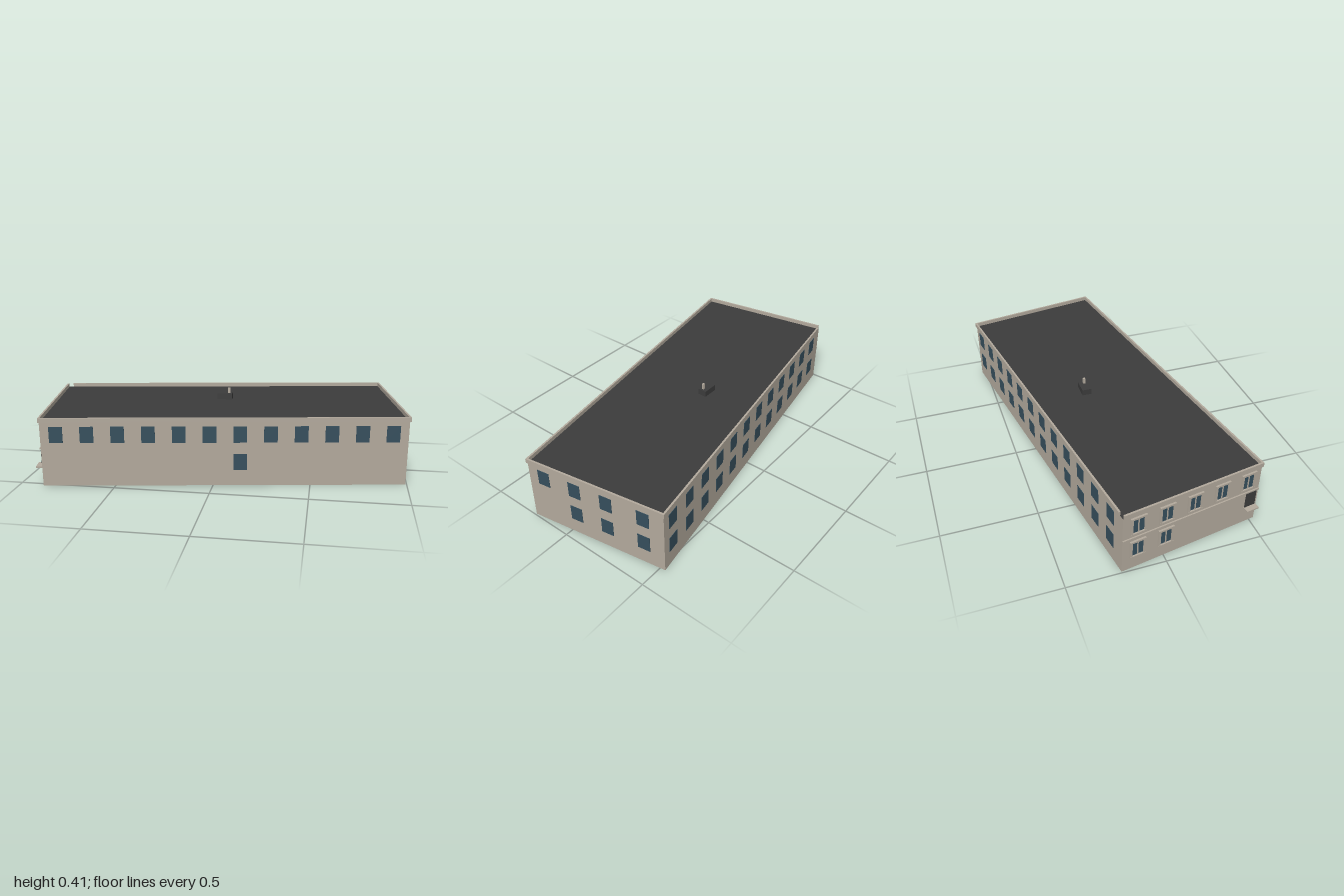
import * as THREE from 'three';

const L = 1.888, W = 0.762, ROOF_Y = 0.346, TOP = 0.367;

export function createModel() {
  const root = new THREE.Group();
  root.name = 'officeBlock';
  const building = new THREE.Group();
  building.name = 'building';
  building.rotation.y = 0.1615; // the block stands at a slight angle
  root.add(building);

  const mat = (name, color) => {
    const m = new THREE.MeshStandardMaterial({ color });
    m.name = name;
    return m;
  };
  const wall = mat('stoneWall', 0xb3aa9d);
  const dark = mat('darkRoof', 0x3c3c3c);
  const glass = mat('blueGlass', 0x364f5d);

  const box = (name, material, w, h, d, x, y, z, parent = building) => {
    const m = new THREE.Mesh(new THREE.BoxGeometry(w, h, d), material);
    m.name = name;
    m.position.set(x, y, z);
    parent.add(m);
    return m;
  };

  // Main block: stone sides, dark roof deck and underside
  box('walls', [wall, wall, dark, dark, wall, wall], L, ROOF_Y, W, 0, ROOF_Y / 2, 0);

  // Thin parapet around the roof, open at the rear right corner
  const t = 0.01, over = 0.006, gap = 0.035;
  const ph = TOP - 0.343, py = (TOP + 0.343) / 2;
  const px = L / 2 + over - t / 2, pz = W / 2 + over - t / 2;
  box('parapetFront', wall, L + 2 * over, ph, t, 0, py, pz);
  box('parapetBack', wall, L + 2 * over - gap, ph, t, gap / 2, py, -pz);
  for (const s of [-1, 1]) {
    box('parapetEnd', wall, t, ph, W + 2 * over - 2 * t, s * px, py, 0);
  }

  // Flush windows on the long sides
  const UP = 0.277, LOW = 0.128, H = 0.087, P = 0.004;
  for (let i = 0; i < 12; i++) {
    box('frontWindow', glass, 0.07, H, P, -0.864 + i * 0.1571, UP, W / 2);
    for (const y of [UP, LOW]) {
      box('backWindow', glass, 0.07, H, P, 0.866 - i * 0.154, y, -W / 2);
    }
  }
  box('frontLowerWindow', glass, 0.07, H, P, -0.864 + 6 * 0.1571, LOW, W / 2);

  // Windows on the left end
  [0.2925, 0.113, -0.066, -0.269].forEach((z, i) => {
    box('endWindow', glass, P, H, 0.067, L / 2, UP, z);
    if (i > 0) box('endLowerWindow', glass, P, H, 0.067, L / 2, LOW, z);
  });

  // Framed windows on the entrance end
  const ex = -L / 2;
  const framedWindow = (y, z) => {
    const g = new THREE.Group();
    g.name = 'framedWindow';
    g.position.set(ex, y, z);
    building.add(g);
    box('pane', glass, P, 0.085, 0.06, 0, 0, 0, g);
    for (const s of [-1, 1]) {
      box('jamb', wall, 0.018, 0.1, 0.012, 0, 0, s * 0.036, g);
      box('lintelOrSill', wall, 0.02, 0.01, 0.084, 0, s * 0.048, 0, g);
    }
    box('mullion', wall, 0.01, 0.086, 0.006, 0, 0, 0, g);
  };
  for (let i = 0; i < 5; i++) {
    framedWindow(UP, -0.3 + i * 0.152);
    if (i < 2) framedWindow(LOW, -0.3 + i * 0.152);
  }
  box('stringCourse', wall, 0.014, 0.008, W, ex, 0.203, 0);

  // Entrance near the front corner with a projecting slab
  box('door', dark, 0.008, 0.09, 0.06, ex, 0.148, 0.34);
  box('entranceSlab', wall, 0.07, 0.007, 0.068, ex, 0.1, 0.34);

  // Roof unit with its vent pipe, square to the site
  box('roofUnit', dark, 0.083, 0.038, 0.05, -0.008, 0.36, -0.092, root);
  box('ventPipe', wall, 0.012, 0.04, 0.012, 0.016, 0.39, -0.088, root);

  return root;
}
